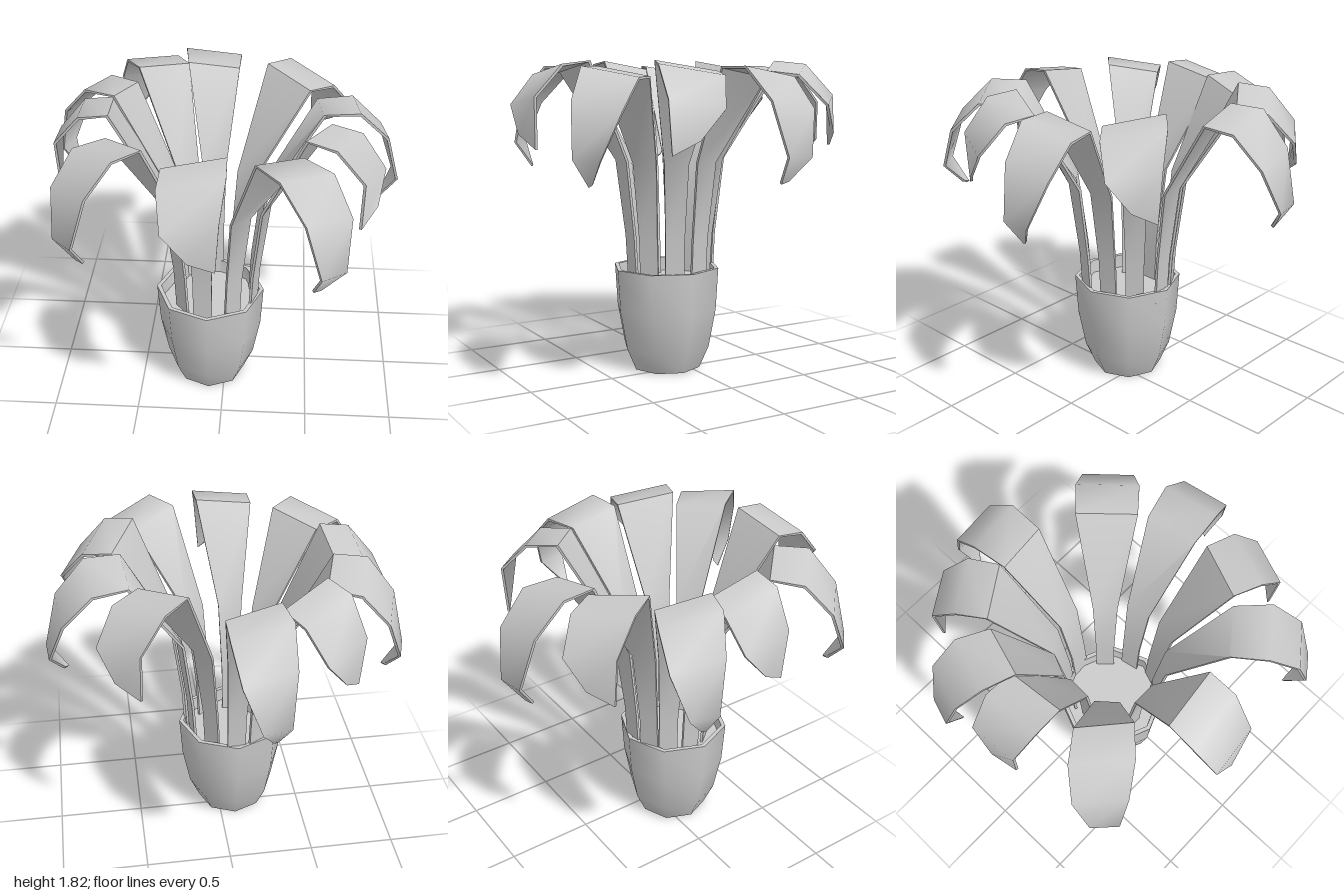
import * as THREE from 'three';
import { toCreasedNormals } from 'three/addons/utils/BufferGeometryUtils.js';

const CREASE = 1.0;
const THICK = 0.015;
const material = new THREE.MeshStandardMaterial({ color: 0xcccccc });

// Leaf edges as [distance outward, height, half width]; both edges share the stem
const STEM = [[0, 0.52, 0.055], [0.015, 0.8, 0.055], [0.07, 1.25, 0.07]];
const SHORT_LEAF = {
  reach: 0.70,
  pointed: [...STEM, [0.36, 1.79, 0.165], [0.53, 1.77, 0.17], [0.68, 1.6, 0.145], [0.67, 1.32, 0.125]],
  cut: [...STEM, [0.36, 1.79, 0.165], [0.53, 1.77, 0.17], [0.68, 1.6, 0.14], [0.70, 1.42, 0.01]],
};
const LONG_LEAF = {
  reach: 0.82,
  pointed: [...STEM, [0.37, 1.76, 0.15], [0.57, 1.76, 0.165], [0.74, 1.59, 0.145], [0.82, 1.31, 0.105], [0.72, 1.17, 0.06]],
  cut: [...STEM, [0.37, 1.76, 0.15], [0.57, 1.76, 0.165], [0.74, 1.59, 0.14], [0.82, 1.33, 0.05], [0.74, 1.19, -0.03]],
};

// Leaves in order around the pot: base x, z, far end x, z, side of the point
const LEAVES = [
  [-0.08, -0.18, -0.13, -1.00, 1],
  [-0.20, -0.15, -0.56, -0.77, 1],
  [-0.26, -0.07, -0.96, -0.38, 1],
  [-0.27, 0.08, -0.95, 0.05, 1],
  [-0.24, 0.20, -0.83, 0.70, 1],
  [-0.12, 0.285, -0.125, 0.985, 1],
  [0.045, 0.27, 0.61, 0.90, -1],
  [0.16, 0.175, 0.82, 0.41, -1],
  [0.145, 0.015, 0.96, -0.14, -1],
  [0.045, -0.095, 0.61, -0.60, 1],
];

// Thin closed strip: a four-cornered section swept along the bent profile
function leafGeometry([x, z, farX, farZ, point], kind) {
  const length = Math.hypot(farX - x, farZ - z);
  const ux = (farX - x) / length, uz = (farZ - z) / length;
  const scale = length / kind.reach;
  const count = kind.cut.length;
  const mid = kind.cut.map((c, i) => new THREE.Vector2(
    (c[0] + kind.pointed[i][0]) / 2, (c[1] + kind.pointed[i][1]) / 2));
  const positions = [], index = [];

  for (let i = 0; i < count; i++) {
    const t = mid[Math.min(i + 1, count - 1)].clone().sub(mid[Math.max(i - 1, 0)]).normalize();
    const roll = i > 2 ? point : 0;
    for (const [side, depth] of [[-1, 0], [1, 0], [1, THICK], [-1, THICK]]) {
      const [d, h, w] = (side === point ? kind.pointed : kind.cut)[i];
      const v = side * w;
      const out = d * scale + t.y * depth - roll * v * 0.1;
      const up = h - t.x * depth + roll * v * 0.17;
      positions.push(x + ux * out + uz * v, up, z + uz * out - ux * v);
    }
  }
  for (let i = 0; i < count - 1; i++) {
    for (let j = 0; j < 4; j++) {
      const a = i * 4 + j, b = i * 4 + (j + 1) % 4;
      index.push(a, a + 4, b, b, a + 4, b + 4);
    }
  }
  const e = (count - 1) * 4;
  index.push(0, 1, 2, 0, 2, 3, e, e + 3, e + 2, e, e + 2, e + 1);

  const geometry = new THREE.BufferGeometry();
  geometry.setAttribute('position', new THREE.Float32BufferAttribute(positions, 3));
  geometry.setIndex(index);
  return toCreasedNormals(geometry, CREASE);
}

function addMesh(parent, name, geometry) {
  const mesh = new THREE.Mesh(geometry, material);
  mesh.name = name;
  parent.add(mesh);
  return mesh;
}

export function createModel() {
  const model = new THREE.Group();
  model.name = 'pottedPlant';

  // Eight-sided pot with a thin rim
  const profile = [[0, 0], [0.205, 0], [0.262, 0.13], [0.305, 0.36], [0.32, 0.61], [0.295, 0.61], [0.285, 0.5]]
    .map(([r, y]) => new THREE.Vector2(r, y));
  const pot = addMesh(model, 'pot', toCreasedNormals(new THREE.LatheGeometry(profile, 8), CREASE));
  pot.position.set(-0.09, 0, 0.09);

  // Soil inside the pot
  const soil = addMesh(model, 'soil', new THREE.CircleGeometry(0.29, 8).rotateX(-Math.PI / 2));
  soil.position.set(-0.09, 0.53, 0.09);

  // Ring of alternating long and short leaves
  const leaves = new THREE.Group();
  leaves.name = 'leaves';
  LEAVES.forEach((leaf, i) => {
    const long = i % 2 === 0;
    addMesh(leaves, long ? 'longLeaf' : 'shortLeaf', leafGeometry(leaf, long ? LONG_LEAF : SHORT_LEAF));
  });
  model.add(leaves);

  return model;
}
